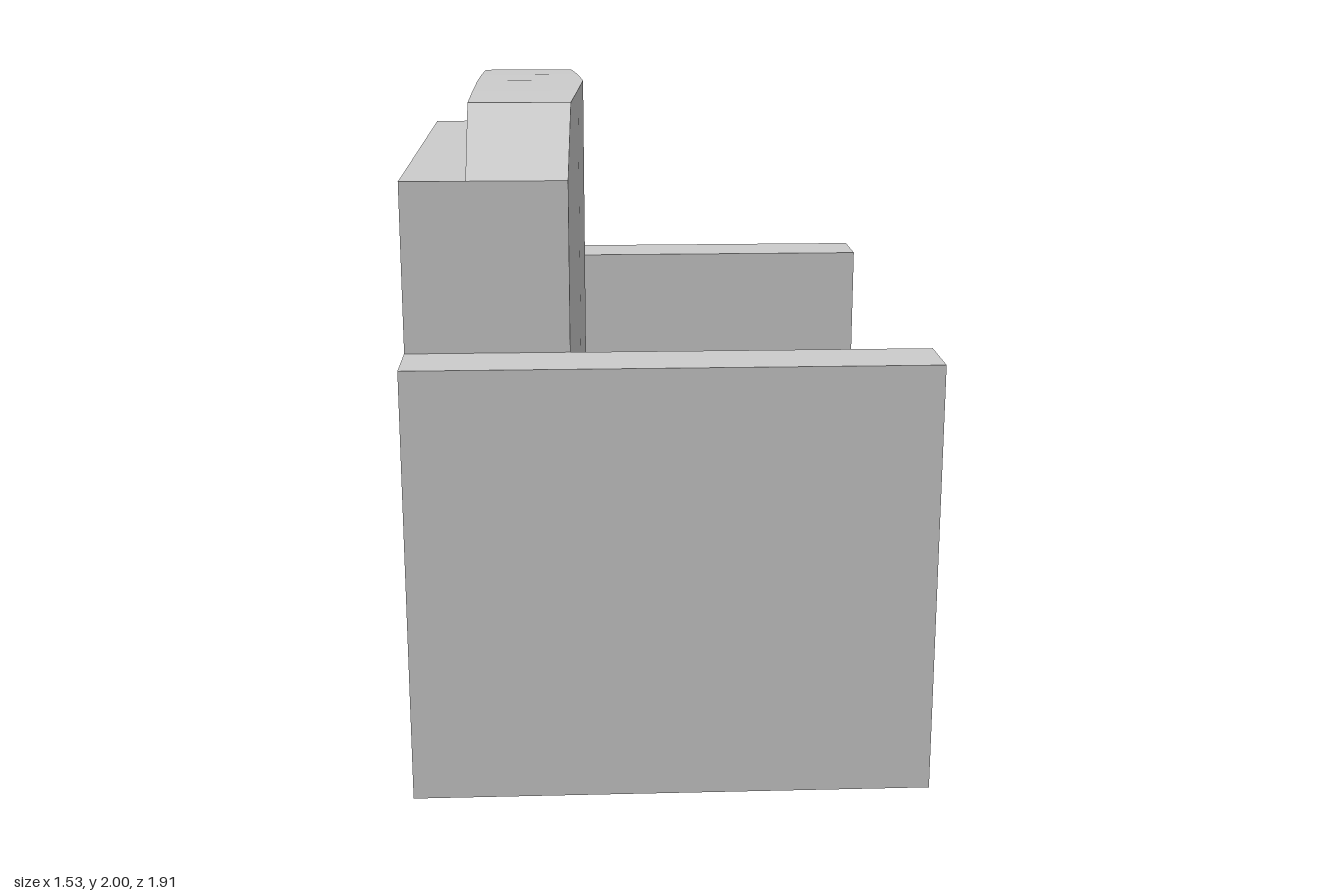
import * as THREE from 'three';

// Box whose vertices are moved by a rule, shaded flat
function shapedBox(w, h, d, ySeg, zSeg, rule) {
  const box = new THREE.BoxGeometry(w, h, d, 1, ySeg, zSeg);
  const p = box.attributes.position;
  const v = new THREE.Vector3();
  for (let i = 0; i < p.count; i++) {
    rule(v.fromBufferAttribute(p, i));
    p.setXYZ(i, v.x, v.y, v.z);
  }
  const geo = box.toNonIndexed();
  geo.computeVertexNormals();
  return geo;
}

export function createModel() {
  const group = new THREE.Group();
  const upholstery = new THREE.MeshStandardMaterial({ color: 0xcccccc });
  upholstery.name = 'light grey upholstery';

  const add = (name, geo, x, y, z) => {
    const mesh = new THREE.Mesh(geo, upholstery);
    mesh.name = name;
    mesh.position.set(x, y, z);
    group.add(mesh);
  };

  // Side panels serving as arms; the chair's seat opens towards +x
  for (const [name, s] of [['nearArm', 1], ['farArm', -1]]) {
    add(name, new THREE.BoxGeometry(1.525, 1.295, 0.2), -0.003, 0.6475, s * 0.857);
  }

  // Upright back panel between the arms
  add('backPanel', new THREE.BoxGeometry(0.19, 1.79, 1.514), -0.67, 0.895, 0);

  // Seat cushion with a pointed front edge
  add('seatCushion', shapedBox(1.245, 0.42, 1.514, 2, 1, (v) => {
    if (v.x > 0 && Math.abs(v.y) < 0.01) v.x += 0.093;
  }), 0.0475, 0.49, 0);

  // Back cushion: chamfered top corners, front bulging towards the middle
  // Stations from the middle outwards: [z, top, front x]
  const stations = [[0, 2.0, -0.242], [0.28, 1.996, -0.259], [0.56, 1.988, -0.28], [0.757, 1.79, -0.29]];
  add('backCushion', shapedBox(2, 2, 6, 1, 6, (v) => {
    const [z, top, front] = stations[Math.round(Math.abs(v.z))];
    v.set(v.x > 0 ? front : -0.577, v.y > 0 ? top : 0.69, Math.sign(v.z) * z);
  }), 0, 0, 0);

  return group;
}
